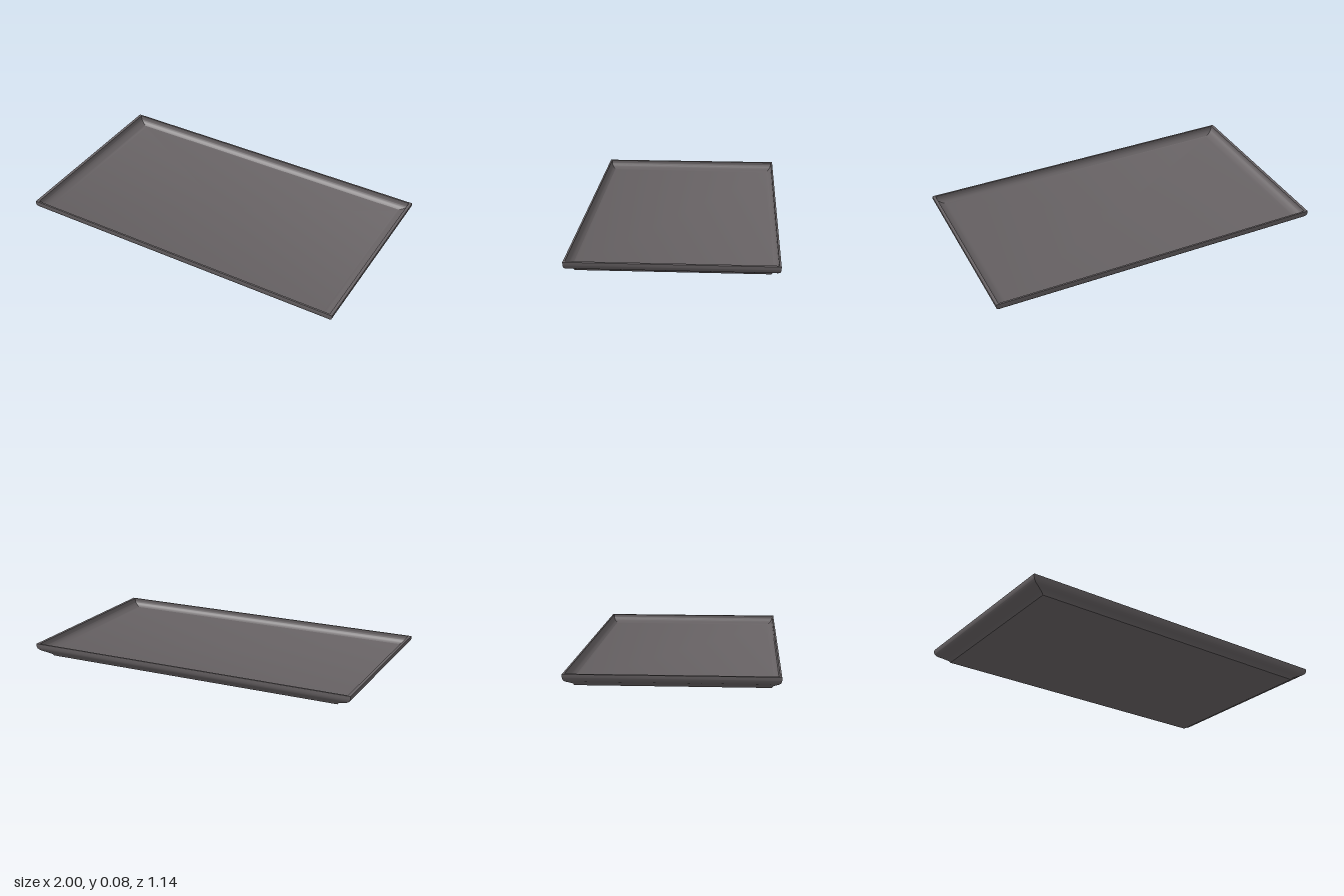
import * as THREE from 'three';
import { toCreasedNormals } from 'three/addons/utils/BufferGeometryUtils.js';

const DEPTH_RATIO = 0.57; // depth of the tray relative to its width
const HEIGHT = 0.077;

// Smooth curve through [half width, height] points
function curve(points, divisions) {
  return new THREE.SplineCurve(points.map(([x, y]) => new THREE.Vector2(x, y))).getPoints(divisions);
}

// Sweeps a profile around a square, then narrows it to the tray's rectangle
function rectangularSweep(profile) {
  const points = profile.map((p) => new THREE.Vector2(p.x * Math.SQRT2, p.y));
  const geometry = new THREE.LatheGeometry(points, 4, Math.PI / 4);
  geometry.scale(1, 1, DEPTH_RATIO);
  return toCreasedNormals(geometry, 0.6);
}

export function createModel() {
  const model = new THREE.Group();
  model.name = 'tray';
  const material = new THREE.MeshStandardMaterial({ color: 0x666163 });

  function addPart(name, profile) {
    const mesh = new THREE.Mesh(rectangularSweep(profile), material);
    mesh.name = name;
    model.add(mesh);
  }

  // Underside with a small foot and an ogee moulding up to the rim
  const outer = curve([[0.922, 0.011], [0.95, 0.023], [0.978, 0.034], [0.994, 0.046], [1, 0.06]], 14);
  addPart('outerShell', [
    new THREE.Vector2(0, 0),
    new THREE.Vector2(0.912, 0),
    ...outer,
    new THREE.Vector2(1, HEIGHT),
  ]);

  // Flat narrow lip
  addPart('rim', [new THREE.Vector2(1, HEIGHT), new THREE.Vector2(0.982, HEIGHT)]);

  // Inner wall curving down into the flat floor
  const inner = curve([[0.982, 0.062], [0.976, 0.05], [0.961, 0.038], [0.938, 0.028], [0.915, 0.021]], 14);
  addPart('innerWallAndFloor', [
    new THREE.Vector2(0.982, HEIGHT),
    ...inner,
    new THREE.Vector2(0, 0.021),
  ]);

  return model;
}
